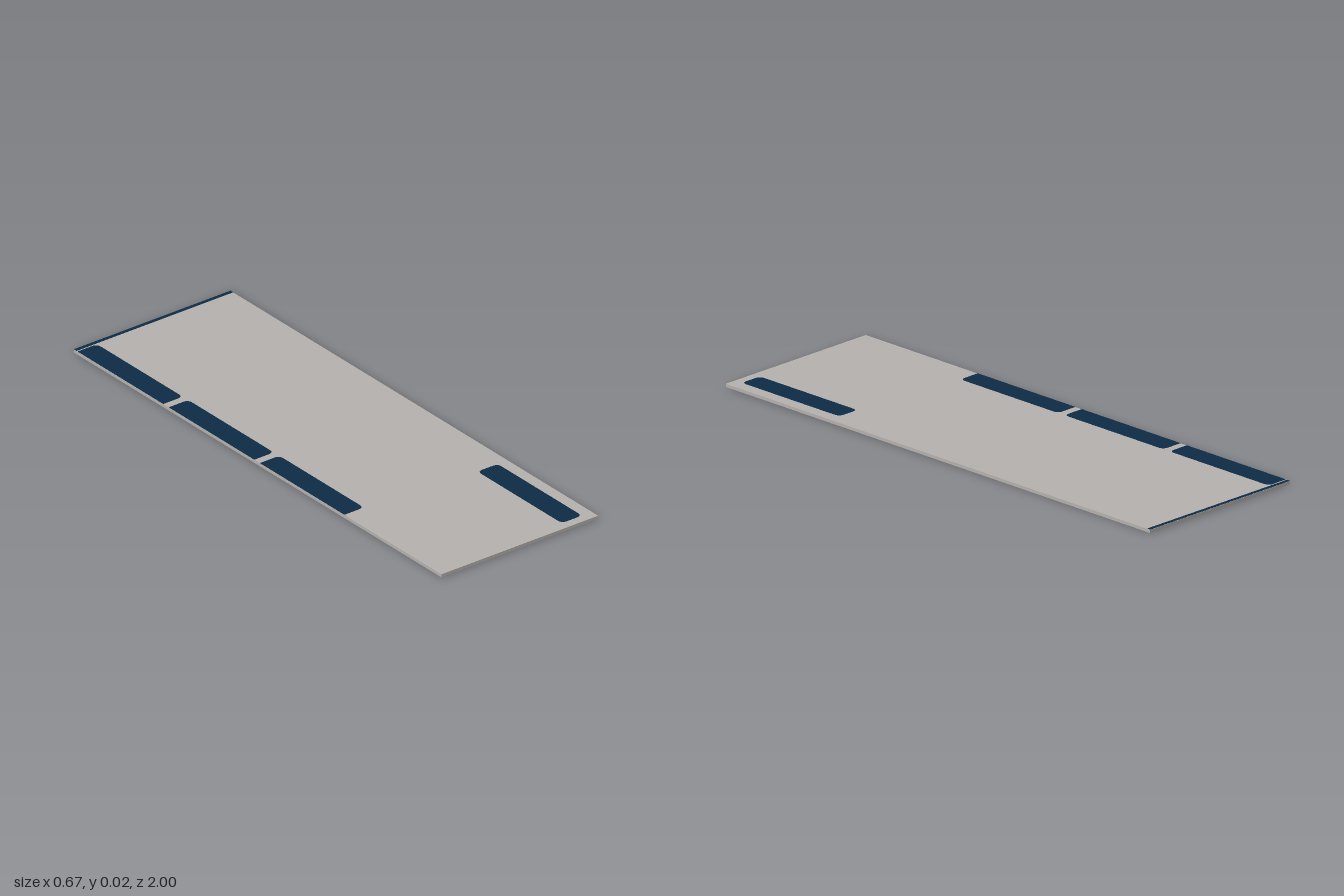
import * as THREE from 'three';

const WIDTH = 0.666, LENGTH = 2, THICK = 0.0115, TILT = 0.0018;

export function createModel() {
  const grey = new THREE.MeshStandardMaterial({ color: 0xb7b3af });
  grey.name = 'warm grey';
  const navy = new THREE.MeshStandardMaterial({ color: 0x0e2c46 });
  navy.name = 'navy';

  const model = new THREE.Group();
  model.name = 'panel';

  // Slab, sloping very slightly down towards the back
  const slab = new THREE.Mesh(new THREE.BoxGeometry(WIDTH, THICK, LENGTH), grey);
  slab.name = 'slab';
  model.add(slab);

  // Flat painted marking on the top face; ra rounds its -x corners, rb its +x corners
  function marking(name, x0, x1, z0, z1, ra, rb) {
    const s = new THREE.Shape();
    const a = -z1, b = -z0;
    s.moveTo(x0 + ra, a);
    s.lineTo(x1 - rb, a);
    s.quadraticCurveTo(x1, a, x1, a + rb);
    s.lineTo(x1, b - rb);
    s.quadraticCurveTo(x1, b, x1 - rb, b);
    s.lineTo(x0 + ra, b);
    s.quadraticCurveTo(x0, b, x0, b - ra);
    s.lineTo(x0, a + ra);
    s.quadraticCurveTo(x0, a, x0 + ra, a);
    const mesh = new THREE.Mesh(new THREE.ShapeGeometry(s, 6).rotateX(-Math.PI / 2), navy);
    mesh.position.y = THICK / 2 + 0.0008;
    mesh.name = name;
    model.add(mesh);
  }

  // Three dashes along the right edge, cut off straight by the edge
  [[-0.98, -0.513], [-0.484, -0.018], [0.012, 0.472]].forEach(([z0, z1], i) =>
    marking(`edgeDash${i + 1}`, -WIDTH / 2, -0.25, z0, z1, 0.001, 0.022));

  // Single dash near the front left corner
  marking('frontDash', 0.204, 0.29, 0.508, 0.967, 0.022, 0.022);

  // Thin line along the back edge
  marking('backLine', -WIDTH / 2, WIDTH / 2, -1, -0.985, 0.0005, 0.0005);

  // Slope the panel and rest its lowest edge on the ground
  model.rotation.x = -TILT;
  model.position.y = THICK / 2 + (LENGTH / 2) * Math.sin(TILT);

  const root = new THREE.Group();
  root.name = 'markedPanel';
  root.add(model);
  return root;
}
